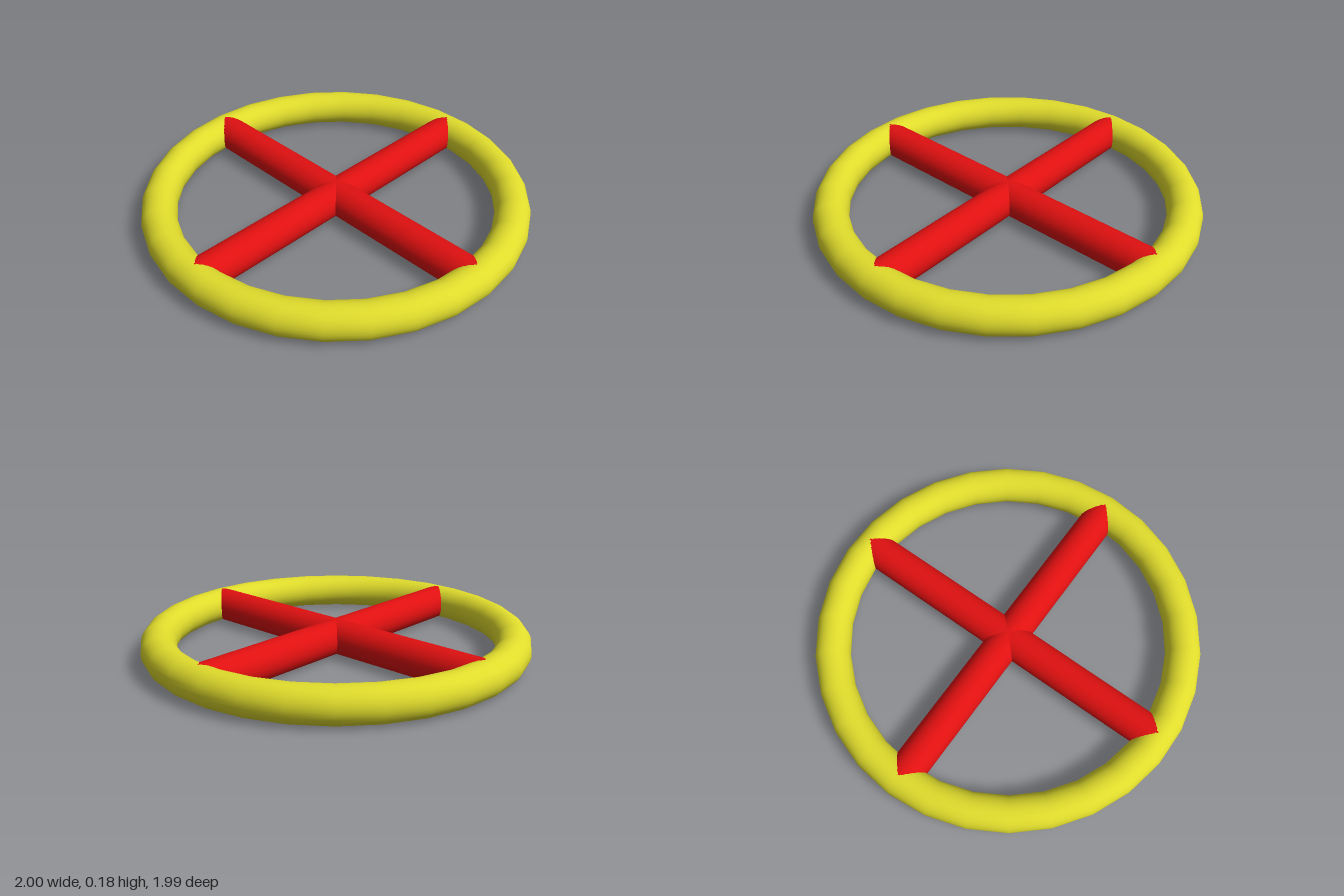
import * as THREE from 'three';

export function createModel() {
  const model = new THREE.Group();
  const yellow = new THREE.MeshStandardMaterial({ color: 0xe0dc2c });
  const red = new THREE.MeshStandardMaterial({ color: 0xe01010 });
  const tube = 0.09, radius = 0.91;

  // Ring lying flat, with 30 straight segments
  const ring = new THREE.Mesh(new THREE.TorusGeometry(radius, tube, 30, 30), yellow);
  ring.name = 'ring';
  ring.rotation.x = Math.PI / 2;
  ring.position.y = tube;
  model.add(ring);

  // Two crossing bars whose ends are buried in the ring
  const barGeometry = new THREE.CylinderGeometry(tube, tube, 2 * 0.905, 32);
  barGeometry.rotateZ(Math.PI / 2);
  ['crossBar', 'lengthwiseBar'].forEach((name, i) => {
    const bar = new THREE.Mesh(barGeometry, red);
    bar.name = name;
    bar.rotation.y = i * Math.PI / 2;
    bar.position.y = tube;
    model.add(bar);
  });

  return model;
}
